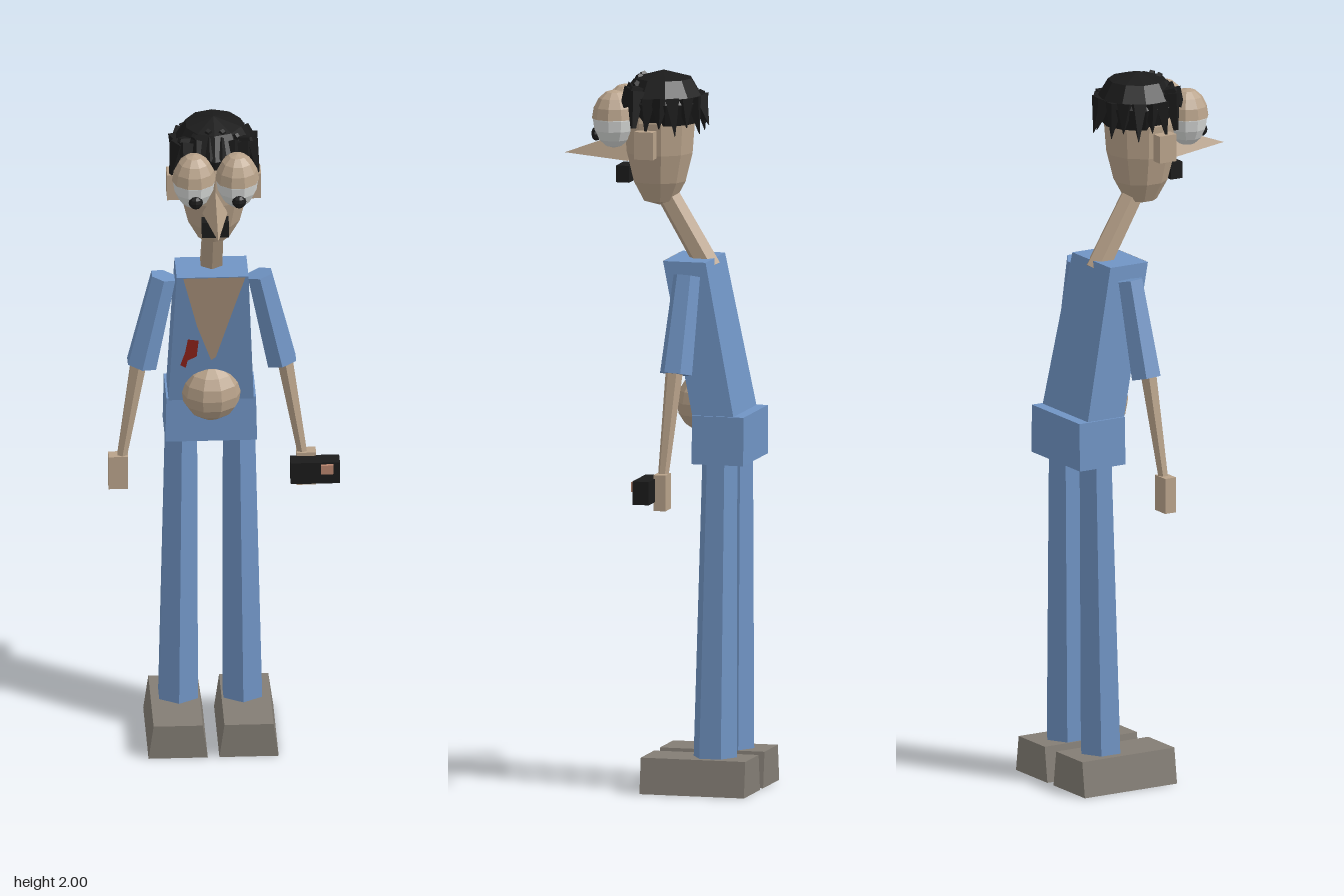
import * as THREE from 'three';

const CX = -0.033; // body centre line
const mat = (name, color) => Object.assign(new THREE.MeshStandardMaterial({ color }), { name });

export function createModel() {
  const model = new THREE.Group();
  const blue = mat('blue cloth', 0x7094c4);
  const skin = mat('skin', 0xb8a28a);
  const shoe = mat('shoe grey', 0x837d74);
  const black = mat('black', 0x1b1b1b);
  const white = mat('eye white', 0xd6d8d6);
  const red = mat('red stain', 0x96241c);
  const screen = mat('screen', 0xb5826c);
  const shirt = mat('chest skin', 0xb09880);
  shirt.side = red.side = THREE.DoubleSide;
  black.side = THREE.DoubleSide;

  // Adds a faceted mesh
  const add = (name, geo, material, x = 0, y = 0, z = 0) => {
    const g = geo.index ? geo.toNonIndexed() : geo;
    g.computeVertexNormals();
    const mesh = new THREE.Mesh(g, material);
    mesh.name = name;
    mesh.position.set(x, y, z);
    model.add(mesh);
    return mesh;
  };

  // Block between a bottom and a top rectangle [x0, x1, z0, z1]
  const block = (name, material, y0, y1, bottom, top = bottom) => {
    const g = new THREE.BoxGeometry(1, 1, 1);
    const p = g.attributes.position;
    for (let i = 0; i < p.count; i++) {
      const r = p.getY(i) > 0 ? top : bottom;
      p.setXYZ(i, p.getX(i) > 0 ? r[1] : r[0], p.getY(i) > 0 ? y1 : y0, p.getZ(i) > 0 ? r[3] : r[2]);
    }
    return add(name, g, material);
  };

  // Tapered prism from point a to point b
  const limb = (name, material, a, b, ra, rb, sides = 6) => {
    const A = new THREE.Vector3(...a), B = new THREE.Vector3(...b);
    const d = B.clone().sub(A);
    const m = add(name, new THREE.CylinderGeometry(rb, ra, d.length(), sides), material);
    m.position.copy(A).add(B).multiplyScalar(0.5);
    m.quaternion.setFromUnitVectors(new THREE.Vector3(0, 1, 0), d.normalize());
    return m;
  };

  // Legs, shoes and arms
  for (const s of [-1, 1]) {
    const side = s > 0 ? 'left' : 'right';
    const X = (d) => CX + s * d;
    const c = X(0.098);
    block(side + 'Shoe', shoe, 0, 0.1, [c - 0.082, c + 0.082, -0.285, 0.015], [c - 0.068, c + 0.068, -0.285, 0.015]);
    limb(side + 'Leg', blue, [X(0.089), 0.09, -0.177], [X(0.08), 0.94, -0.188], 0.062, 0.05);
    limb(side + 'Sleeve', blue, [X(0.194), 1.18, -0.094], [X(0.133), 1.447, -0.108], 0.046, 0.038);
    limb(side + 'Forearm', skin, [X(0.25), 0.9, -0.073], [X(0.2), 1.2, -0.092], 0.015, 0.025);
    const h = X(0.26);
    block(side + 'Hand', skin, 0.81, 0.91, [h - 0.027, h + 0.027, -0.09, -0.055]);
  }

  // Hips and leaning torso
  block('hips', blue, 0.92, 1.055, [-0.16, 0.094, -0.268, -0.12], [-0.157, 0.091, -0.268, -0.12]);
  block('torso', blue, 1.04, 1.48, [-0.152, 0.085, -0.24, -0.122], [-0.133, 0.066, -0.152, -0.03]);

  // Flat patch lying on the sloping chest
  const patch = (name, material, points, lift) => {
    const g = new THREE.ShapeGeometry(new THREE.Shape(points.map((p) => new THREE.Vector2(...p))));
    const p = g.attributes.position;
    for (let i = 0; i < p.count; i++) p.setZ(i, -0.03 - (1.48 - p.getY(i)) * 0.209 + lift);
    add(name, g, material);
  };
  patch('openCollar', shirt, [[-0.115, 1.479], [-0.075, 1.31], [-0.035, 1.19], [-0.022, 1.2], [0.02, 1.35], [0.057, 1.479]], 0.003);
  patch('stain', red, [[-0.12, 1.175], [-0.105, 1.165], [-0.1, 1.19], [-0.075, 1.205], [-0.07, 1.26], [-0.1, 1.265], [-0.107, 1.22]], 0.004);

  const belly = add('belly', new THREE.SphereGeometry(0.085, 10, 8), skin, CX, 1.077, -0.125);
  belly.scale.z = 0.95;

  // Object held in the left hand
  block('handset', black, 0.835, 0.9, [0.182, 0.318, -0.06, -0.013]);
  block('handsetScreen', screen, 0.868, 0.895, [0.265, 0.3, -0.013, -0.004]);

  // Neck and head
  limb('neck', skin, [CX, 1.45, -0.135], [CX, 1.67, -0.005], 0.035, 0.032);
  const lathe = (pts) => new THREE.LatheGeometry(pts.map((p) => new THREE.Vector2(...p)), 10);
  add('head', lathe([[0, 1.622], [0.045, 1.635], [0.075, 1.69], [0.095, 1.77], [0.102, 1.86], [0.08, 1.95], [0, 1.97]]), skin, CX, 0, 0.008);

  // Face
  for (const s of [-1, 1]) {
    const side = s > 0 ? 'left' : 'right';
    const e = CX + s * 0.06;
    const ear = CX + s * 0.113;
    block(side + 'Ear', skin, 1.765, 1.842, [ear - 0.017, ear + 0.017, -0.01, 0.045]);
    const eye = add(side + 'Eye', new THREE.SphereGeometry(0.058, 10, 8), white, e, 1.865, 0.122);
    eye.scale.y = 1.38;
    const lid = add(side + 'Eyelid', new THREE.SphereGeometry(0.061, 10, 4, 0, Math.PI * 2, 0, Math.PI * 0.49), skin, e, 1.865, 0.122);
    lid.scale.y = 1.35;
    const pupil = add(side + 'Pupil', new THREE.SphereGeometry(0.02, 8, 6), black, e + 0.003, 1.823, 0.171);
    pupil.scale.z = 0.75;
  }
  const nose = new THREE.ConeGeometry(1, 1, 3);
  const np = nose.attributes.position;
  for (let i = 0; i < np.count; i++) {
    // tip forward, triangular base against the face
    const tip = np.getY(i) > 0;
    const x = np.getX(i), up = -np.getZ(i);
    if (tip) np.setXYZ(i, 0, 1.757, 0.28);
    else np.setXYZ(i, -x * 0.04, 1.773 - up * 0.055, 0.09);
  }
  // the base triangle is turned over so its faces still look outward
  for (let i = 0; i < np.count; i++) if (np.getZ(i) < 0.2) np.setX(i, -np.getX(i));
  const noseMesh = add('nose', nose, skin, CX);
  // orient faces outward
  const q = noseMesh.geometry.attributes.position;
  const mid = new THREE.Vector3(0, 1.767, 0.15);
  const v = [0, 1, 2].map(() => new THREE.Vector3());
  for (let i = 0; i < q.count; i += 3) {
    v.forEach((p, k) => p.fromBufferAttribute(q, i + k));
    const n = v[1].clone().sub(v[0]).cross(v[2].clone().sub(v[0]));
    if (n.dot(v[0].clone().sub(mid)) < 0) {
      q.setXYZ(i + 1, v[2].x, v[2].y, v[2].z);
      q.setXYZ(i + 2, v[1].x, v[1].y, v[1].z);
    }
  }
  noseMesh.geometry.computeVertexNormals();
  block('mouth', black, 1.685, 1.732, [CX - 0.037, CX + 0.037, 0.085, 0.122]);
  block('teeth', white, 1.72, 1.728, [CX - 0.012, CX + 0.012, 0.122, 0.126]);

  // Hair cap with jagged locks hanging around the back and sides
  add('hairCap', lathe([[0.098, 1.855], [0.117, 1.915], [0.08, 1.978], [0, 2.0]]), black, CX, 0, -0.004);
  for (let i = 0; i < 11; i++) {
    const a = Math.PI * (0.44 + i * 0.112);
    const x = CX + Math.sin(a), z = Math.cos(a);
    const at = (r, y) => [CX + (x - CX) * r, y, z * r - 0.004];
    limb('hairLock', black, at(0.1, 1.93), at(0.114 + (i % 3) * 0.008, 1.83 + (i % 2) * 0.02), 0.027, 0.001, 4);
  }
  // Fringe and upright tufts
  for (const dx of [-0.085, -0.05, -0.015, 0.02, 0.055, 0.088]) {
    limb('fringeLock', black, [CX + dx * 0.9, 1.95, 0.06], [CX + dx, 1.925 - Math.abs(dx) * 0.4, 0.118 - Math.abs(dx) * 0.25], 0.03, 0.004, 4);
    limb('hairTuft', black, [CX + dx * 0.8, 1.94, 0.04], [CX + dx * 1.15, 1.995 - Math.abs(dx) * 0.4, 0.062], 0.026, 0.008, 4);
  }
  for (const s of [-1, 1]) {
    limb('templeLock', black, [CX + s * 0.095, 1.95, 0.05], [CX + s * 0.118, 1.85, 0.05], 0.026, 0.008, 4);
  }
  return model;
}
